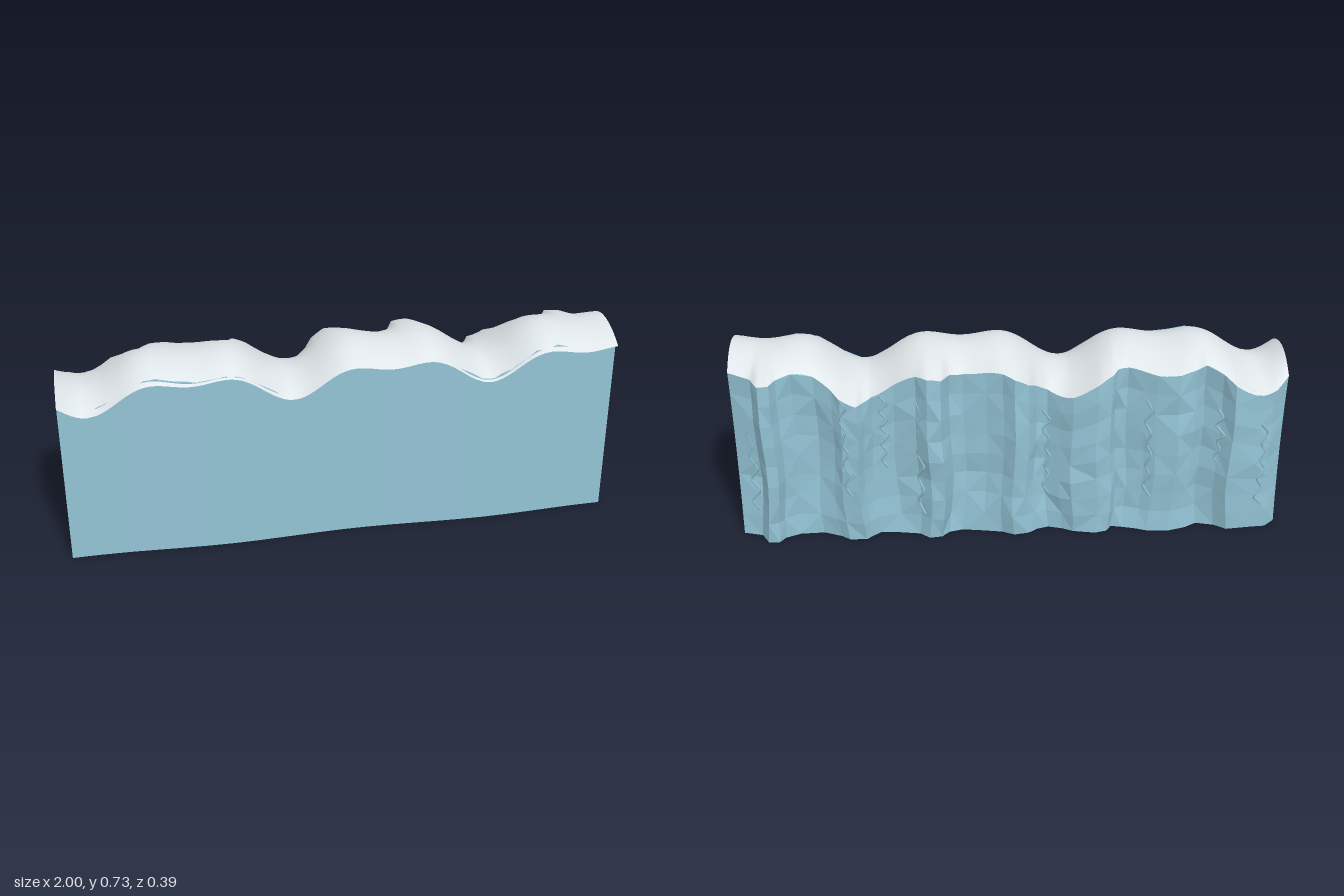
import * as THREE from 'three';

// Ribbed back outline: x position and how far each point stands out towards -z
const RIBS = [
  [-1, .10], [-.95, .15], [-.9, .165], [-.8, .18], [-.76, .14], [-.7, .11], [-.66, .15], [-.6, .175],
  [-.52, .165], [-.48, .145], [-.42, .12], [-.38, .125], [-.36, .16], [-.31, .18], [-.22, .165], [-.18, .14],
  [-.13, .11], [-.09, .13], [-.06, .17], [-.01, .185], [.03, .155], [.09, .13], [.17, .115], [.22, .13],
  [.25, .19], [.3, .19], [.34, .15], [.42, .125], [.5, .125], [.53, .16], [.55, .195], [.61, .185],
  [.64, .15], [.7, .12], [.78, .12], [.83, .15], [.85, .19], [.89, .19], [.92, .13], [1, .10],
];
const COLS = RIBS.length - 1, ROWS = 8;

// Rolling crest height: three repeats of a double hump
const phase = (x) => (x + 0.185) * Math.PI * 2 / 0.715;
const crest = (x) => 0.697 - 0.0425 * Math.cos(phase(x)) - 0.0245 * Math.cos(2 * phase(x));
const wallTop = (x) => crest(x) - 0.043 + 0.008 * Math.max(0, Math.cos(phase(x) - 2.07)) ** 3;
const frontZ = (x) => 0.183 - 0.008 * Math.cos((x - 1) * Math.PI * 2 / 0.95);

// Repeatable noise from -1 to 1
function noise(i, j) {
  const s = Math.sin(i * 127.1 + j * 311.7) * 43758.5453;
  return 2 * (s - Math.floor(s)) - 1;
}

// Outline depth at any x
function ribDepth(x) {
  let i = 0;
  while (i < COLS - 1 && RIBS[i + 1][0] < x) i++;
  const [[x0, d0], [x1, d1]] = [RIBS[i], RIBS[i + 1]];
  return THREE.MathUtils.lerp(d0, d1, (x - x0) / (x1 - x0));
}

// Back face depth at a height fraction: bulges in the middle, narrows to the base
function backZ(x, f) {
  const s = (ribDepth(x) - 0.1) / 0.09;
  const valley = 0.088 - 0.065 * f * (1 - f) + 0.008 * f;
  const peak = 0.153 + 0.06 * f - 0.038 * f * f;
  return -THREE.MathUtils.lerp(valley, peak, s);
}

function frontPoint(i, j) {
  const x = RIBS[i][0];
  return [x, wallTop(x) * j / ROWS, frontZ(x)];
}

function backPoint(i, j) {
  const x = RIBS[i][0], f = j / ROWS;
  const inner = i > 0 && i < COLS ? 1 : 0;
  const drift = inner * 0.012 * (1 - f) * Math.sin(f * 7 + x * 9);
  const rough = inner * (j < ROWS ? 1 : 0) * 0.007 * noise(i, j);
  return [x + drift, (crest(x) - 0.06) * f, backZ(x, f) + rough];
}

// Surface from a grid of points; flip reverses the faces, flat gives hard facets
function grid(point, nu, nv, { flip = false, flat = false } = {}) {
  const pos = [], index = [];
  for (let j = 0; j <= nv; j++) for (let i = 0; i <= nu; i++) pos.push(...point(i, j));
  for (let j = 0; j < nv; j++) {
    for (let i = 0; i < nu; i++) {
      const a = j * (nu + 1) + i, b = a + 1, d = a + nu + 1, c = d + 1;
      const tris = (i + j) % 2 && flat ? [[a, b, d], [b, c, d]] : [[a, b, c], [a, c, d]];
      for (const [p, q, r] of tris) index.push(...(flip ? [p, r, q] : [p, q, r]));
    }
  }
  let g = new THREE.BufferGeometry();
  g.setAttribute('position', new THREE.Float32BufferAttribute(pos, 3));
  g.setIndex(index);
  if (flat) g = g.toNonIndexed();
  g.computeVertexNormals();
  return g;
}

const mix = (p, q, t) => p.map((v, k) => THREE.MathUtils.lerp(v, q[k], t));

export function createModel() {
  const ice = new THREE.MeshStandardMaterial({ color: 0x94c4d6 });
  ice.name = 'iceBlue';
  const snow = new THREE.MeshStandardMaterial({ color: 0xeaf1f4, side: THREE.DoubleSide });
  snow.name = 'snowWhite';

  const model = new THREE.Group();
  model.name = 'iceWall';
  const add = (name, geometry, material) => {
    const mesh = new THREE.Mesh(geometry, material);
    mesh.name = name;
    model.add(mesh);
  };

  // Wall: smooth front, faceted ribbed back, flat ends, top and base
  add('wallFront', grid(frontPoint, COLS, ROWS), ice);
  add('wallBack', grid(backPoint, COLS, ROWS, { flip: true, flat: true }), ice);
  add('wallBase', grid((i, j) => (j ? backPoint(i, 0) : frontPoint(i, 0)), COLS, 1, { flip: true, flat: true }), ice);
  add('wallTop', grid((i, j) => {
    if (j === 0) return frontPoint(i, ROWS);
    if (j === 2) return backPoint(i, ROWS);
    const x = RIBS[i][0];
    return [x, crest(x) - 0.045, -0.07];
  }, COLS, 2, { flat: true }), ice);
  for (const [name, col, flip] of [['rightEnd', 0, true], ['leftEnd', COLS, false]]) {
    add(name, grid((i, j) => (i ? backPoint(col, j) : frontPoint(col, j)), 1, ROWS, { flip, flat: true }), ice);
  }

  // Snow cap: thin arched sheet overhanging the ribs
  const FINE = 3, ACROSS = 14;
  add('snowCap', grid((i, j) => {
    const k = Math.min(Math.floor(i / FINE), COLS - 1);
    const [x, depth] = mix(RIBS[k], RIBS[k + 1], i / FINE - k);
    const t = 1 - 2 * j / ACROSS;
    const z = 0.04 + (t > 0 ? 0.16 * t : (depth + 0.04) * t);
    return [x, crest(x) - (t > 0 ? 0.05 : 0.058) * t * t, z];
  }, COLS * FINE, ACROSS), snow);

  // Cracks: thin zigzag ridges down the back [x, low, high]
  const cracks = [[.94, .1, .52], [.6, .2, .6], [.46, .28, .58], [.33, .1, .56],
    [-.13, .15, .5], [-.5, .15, .55], [-.76, .2, .5], [-.92, .1, .45]];
  cracks.forEach(([x, low, high], n) => {
    const path = new THREE.CurvePath();
    const steps = 9, points = [];
    for (let k = 0; k <= steps; k++) {
      const y = THREE.MathUtils.lerp(low, high, k / steps);
      const px = x + (k % 2 ? 0.014 : -0.014) + 0.006 * noise(n, k);
      points.push(new THREE.Vector3(px, y, backZ(px, y / (crest(px) - 0.06)) - 0.001));
    }
    for (let k = 0; k < steps; k++) path.add(new THREE.LineCurve3(points[k], points[k + 1]));
    add('crack' + (n + 1), new THREE.TubeGeometry(path, steps * 3, 0.005, 4), ice);
  });

  return model;
}
